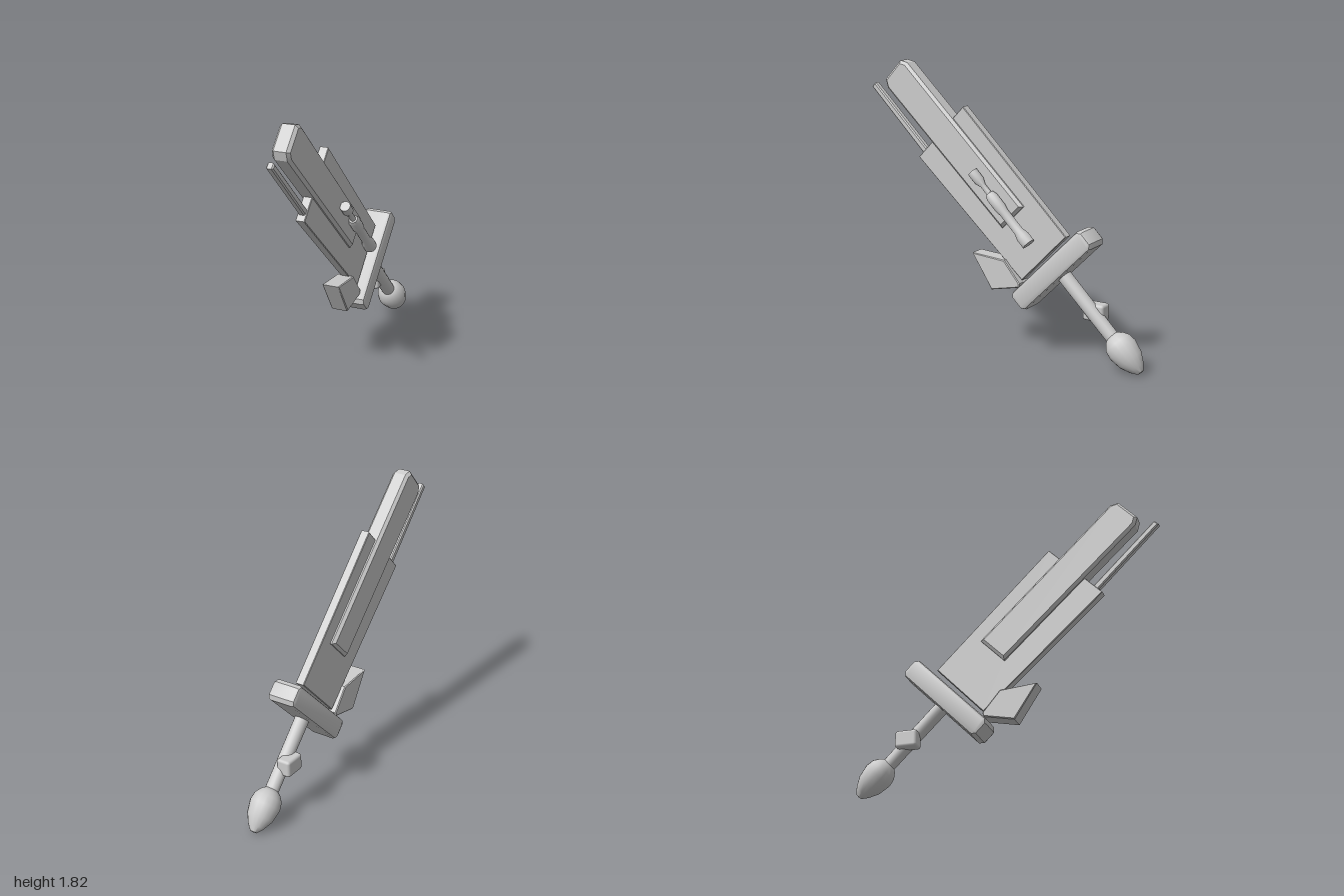
import * as THREE from 'three';
import { toCreasedNormals } from 'three/addons/utils/BufferGeometryUtils.js';
import { RoundedBoxGeometry } from 'three/addons/geometries/RoundedBoxGeometry.js';

const R = Math.SQRT1_2;

export function createModel() {
  const steel = new THREE.MeshStandardMaterial({ color: 0xcccccc });
  steel.name = 'pale grey steel';

  const model = new THREE.Group();
  model.name = 'sword';
  // the whole sword is turned a little to one side, then leans 45 degrees forward
  model.position.x = 0.022;
  model.rotation.y = 0.104;
  const sword = new THREE.Group();
  sword.name = 'leaningSword';
  sword.rotation.x = Math.PI / 4;
  model.add(sword);

  const add = (name, geometry, parent = sword) => {
    const mesh = new THREE.Mesh(geometry, steel);
    mesh.name = name;
    parent.add(mesh);
    return mesh;
  };

  // plate with a side outline of [across, along] points and chamfered edges
  const plate = (name, points, thickness, bevel, segments = 1) => {
    const shape = new THREE.Shape(points.map(([t, s]) => new THREE.Vector2(t, s)));
    const geometry = new THREE.ExtrudeGeometry(shape, {
      depth: thickness - 2 * bevel,
      bevelEnabled: bevel > 0,
      bevelThickness: bevel,
      bevelSize: bevel,
      bevelOffset: -bevel,
      bevelSegments: segments,
    });
    geometry.translate(0, 0, bevel - thickness / 2);
    geometry.rotateY(Math.PI / 2);
    return add(name, toCreasedNormals(geometry, 0.5));
  };

  // turned part with a profile of [radius, along] points, bottom to top
  const turned = (name, points, x, t) => {
    const profile = points.map(([r, s]) => new THREE.Vector2(r, s));
    const mesh = add(name, toCreasedNormals(new THREE.LatheGeometry(profile, 16), 0.75));
    mesh.position.set(x, 0, -t);
    return mesh;
  };

  // blade
  plate('flatBlade', [[0.457, 0.222], [0.907, 0.228], [0.904, 1.29], [0.408, 1.283]], 0.06, 0.004);
  plate('thickBladeCore', [
    [0.588, 0.55], [0.808, 0.55], [0.787, 1.766], [0.757, 1.812], [0.582, 1.806], [0.553, 1.755],
  ], 0.116, 0.018);
  plate('thinRod', [[0.448, 1.2], [0.492, 1.2], [0.486, 1.857], [0.446, 1.857]], 0.045, 0.008);

  // hand guard with clipped corners
  plate('guard', [
    [0.355, 0.085], [0.38, 0.06], [1.02, 0.06], [1.045, 0.085],
    [1.045, 0.172], [1.02, 0.197], [0.38, 0.197], [0.355, 0.172],
  ], 0.192, 0.022, 2);

  // slanted wing beside the guard, given as [forward, up]
  const wing = [[0.19, 0.618], [-0.05, 0.6], [-0.163, 0.463], [-0.16, 0.436], [0.045, 0.393]];
  plate('wing', wing.map(([z, y]) => [(y - z) * R, (y + z) * R]), 0.115, 0.006);

  // handle and pommel
  turned('handle', [[0, -0.46], [0.044, -0.46], [0.047, 0.08], [0, 0.08]], 0, 0.71);
  turned('pommel', [
    [0, -0.695], [0.022, -0.692], [0.052, -0.655], [0.084, -0.595],
    [0.099, -0.515], [0.09, -0.465], [0.065, -0.43], [0.04, -0.41], [0, -0.41],
  ], 0, 0.715);

  // small block on the side of the handle, level with the ground
  const block = add('handleBlock', new RoundedBoxGeometry(0.095, 0.11, 0.145, 2, 0.018), model);
  block.position.set(-0.04, 0.34, -0.66);

  // turned fitting on the left face of the blade
  turned('sideFitting', [
    [0, 0.348], [0.043, 0.348], [0.043, 0.405], [0.031, 0.45], [0.031, 0.6],
    [0.038, 0.64], [0.038, 0.725], [0.028, 0.752], [0.018, 0.756], [0.018, 0.82],
    [0.034, 0.862], [0.034, 0.93], [0, 0.932],
  ], 0.088, 0.7);

  return model;
}
